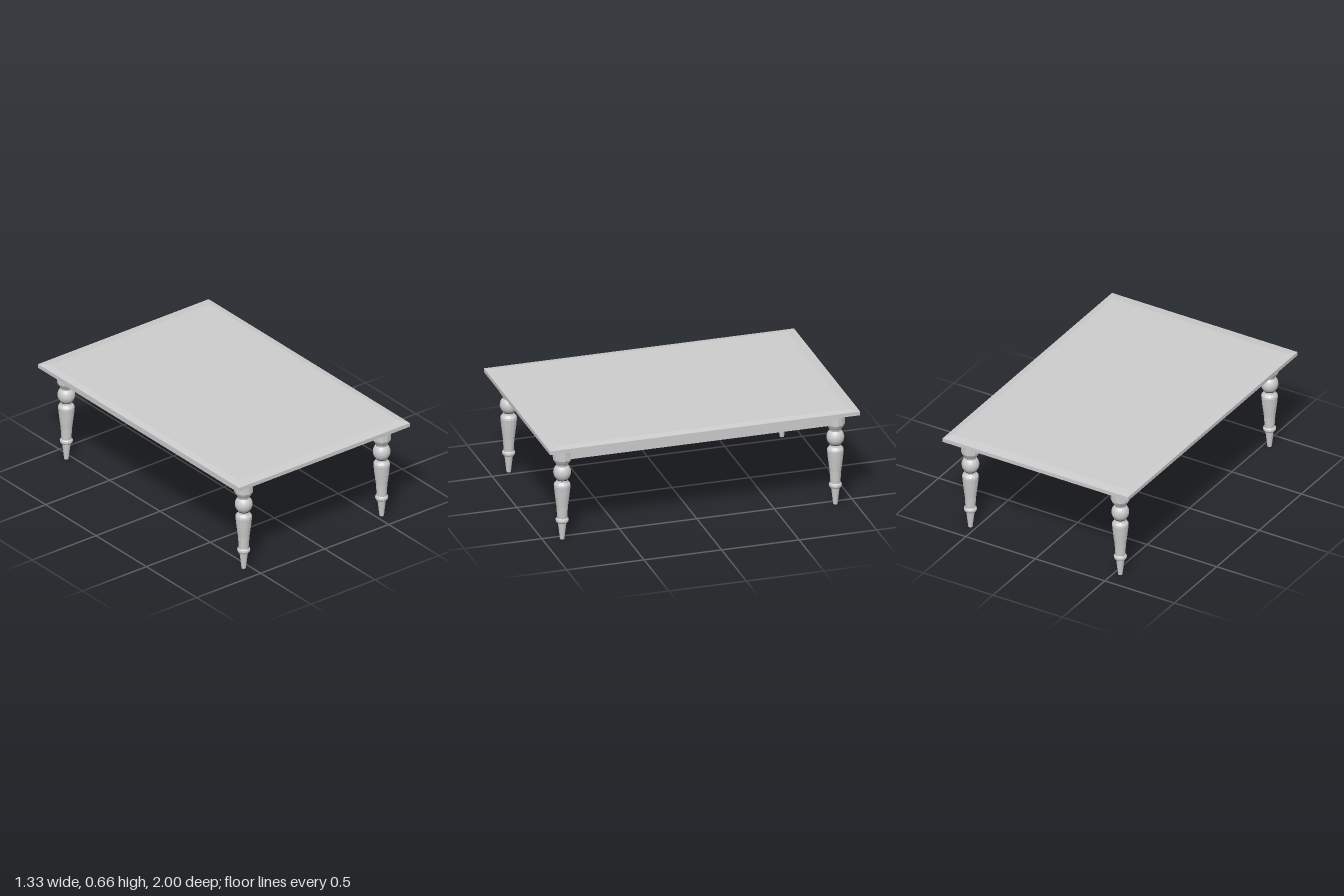
import * as THREE from 'three';

const material = new THREE.MeshStandardMaterial({ color: 0xcccccc, flatShading: true });

function part(name, geometry, parent) {
  const mesh = new THREE.Mesh(geometry, material);
  mesh.name = name;
  parent.add(mesh);
  return mesh;
}

function turned(points, sides) {
  return new THREE.LatheGeometry(points.map(([r, y]) => new THREE.Vector2(r, y)), sides);
}

// Slab whose upper edge slopes in to a slightly smaller top face
function tabletopGeometry() {
  const geometry = new THREE.BoxGeometry(1.334, 2, 2, 1, 2, 1);
  const p = geometry.attributes.position;
  for (let i = 0; i < p.count; i++) {
    const level = Math.round(p.getY(i));
    p.setY(i, [0.63, 0.655, 0.664][level + 1]);
    if (level === 1) {
      p.setX(i, Math.sign(p.getX(i)) * 0.623);
      p.setZ(i, Math.sign(p.getZ(i)) * 0.935);
    }
  }
  geometry.computeVertexNormals();
  return geometry;
}

// Four rails as one mitred frame
function apronGeometry() {
  const rect = (path, x, z) =>
    path.moveTo(-x, -z).lineTo(x, -z).lineTo(x, z).lineTo(-x, z).closePath();
  const shape = new THREE.Shape();
  rect(shape, 0.587, 0.847);
  const hole = new THREE.Path();
  rect(hole, 0.534, 0.785);
  shape.holes.push(hole);
  const geometry = new THREE.ExtrudeGeometry(shape, { depth: 0.082, bevelEnabled: false });
  return geometry.rotateX(-Math.PI / 2).translate(0, 0.548, 0);
}

function createLeg() {
  const leg = new THREE.Group();
  leg.name = 'leg';
  // Tapered foot
  part('foot', turned([[0, 0], [0.014, 0], [0.027, 0.112]], 16), leg);
  // Rounded ring above the foot
  part('ankleRing', turned([
    [0.026, 0.111], [0.034, 0.113], [0.040, 0.122], [0.041, 0.129],
    [0.039, 0.138], [0.032, 0.144],
  ], 16), leg);
  // Long shaft, widest at the shoulder
  part('shaft', turned([
    [0.031, 0.143], [0.036, 0.22], [0.046, 0.30], [0.052, 0.36], [0.050, 0.372],
    [0.036, 0.389], [0.034, 0.40],
  ], 16), leg);
  // Ball
  const ball = [];
  for (let i = 0; i <= 12; i++) {
    const a = -1.03 + (i / 12) * 1.9;
    ball.push([0.055 * Math.cos(a), 0.45 + 0.058 * Math.sin(a)]);
  }
  part('ball', turned(ball, 24), leg);
  // Neck flaring out to the post under the top
  part('post', turned([
    [0.035, 0.493], [0.038, 0.506], [0.048, 0.52], [0.059, 0.54], [0.060, 0.63], [0, 0.63],
  ], 12), leg);
  return leg;
}

export function createModel() {
  const table = new THREE.Group();
  table.name = 'table';
  part('tabletop', tabletopGeometry(), table);
  part('apron', apronGeometry(), table);
  for (const x of [-0.539, 0.539]) {
    for (const z of [-0.881, 0.881]) {
      const leg = createLeg();
      leg.position.set(x, 0, z);
      table.add(leg);
    }
  }
  return table;
}
